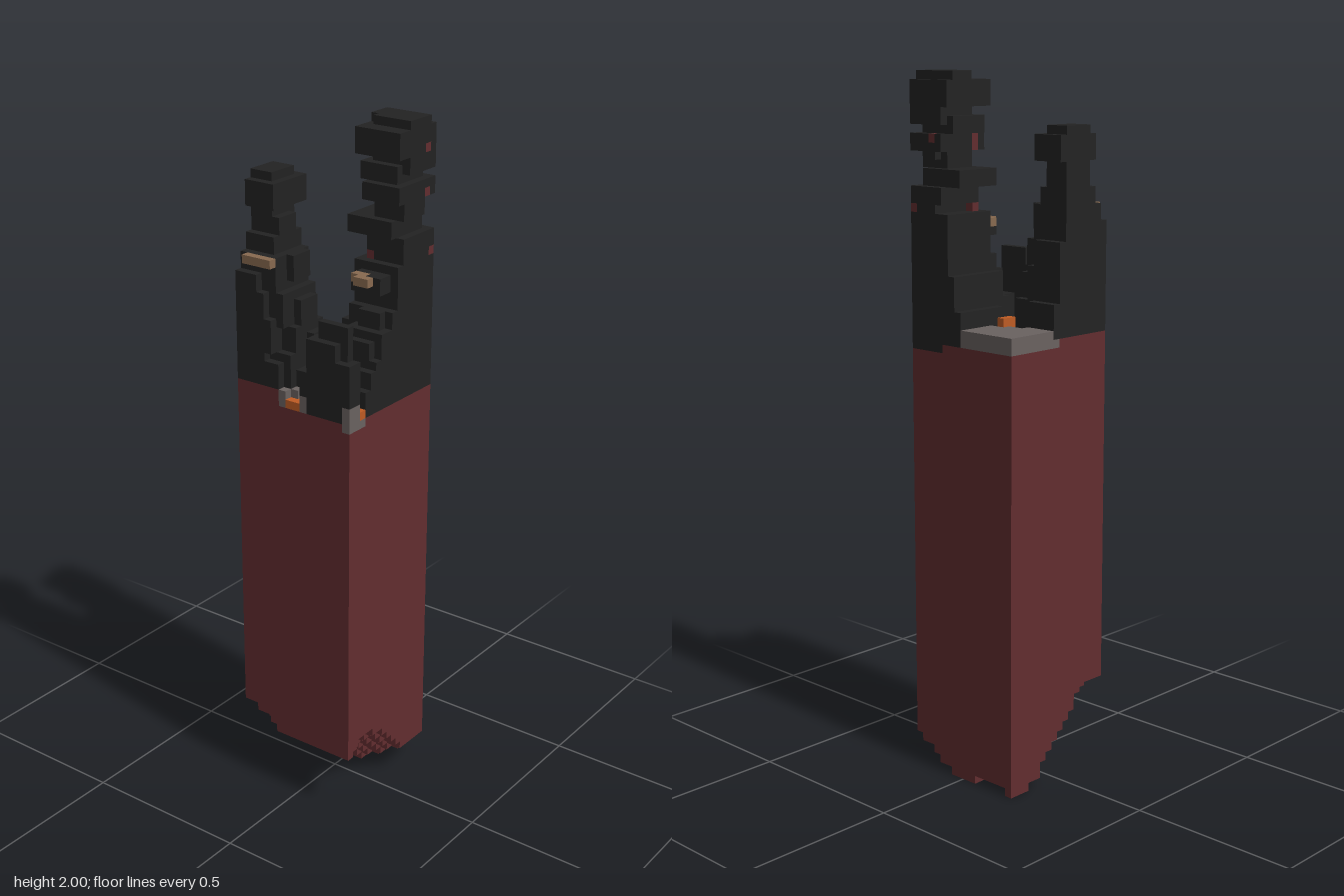
import * as THREE from 'three';

const N = 16, H = 84, U = 2 / H; // voxel columns per side, layers, voxel size

const parts = {
  redRock: { name: 'redRock', color: 0x622d2f },
  darkRock: { name: 'darkRock', color: 0x232323 },
  greyStone: { name: 'greyStone', color: 0x6a6260 },
  lava: { name: 'lava', color: 0xbf5c24 },
  tanStone: { name: 'tanStone', color: 0x886a50 },
};

// Slabs are [x0, x1, z0, z1, y0, y1] in voxel units, upper bounds exclusive.
const tallTower = [
  [8, 16, 0, 7, 53, 57], [9, 16, 0, 9, 53, 58], [10, 16, 0, 11, 53, 58],
  [11, 16, 0, 12, 52, 57], [13, 16, 0, 13, 52, 55],
  [9, 16, 0, 8, 57, 61], [11, 16, 8, 10, 57, 61], [12, 15, 10, 11, 57, 60],
  [10, 16, 0, 8, 61, 63], [12, 15, 8, 9, 61, 63], [10, 16, 0, 7, 63, 68],
  [11, 15, 7, 9, 65, 67], [12, 16, 0, 6, 68, 69], [11, 16, 0, 6, 69, 71],
  [9, 15, 1, 7, 71, 73], [12, 16, 2, 6, 73, 75], [13, 15, 1, 5, 74, 76],
  [11, 16, 0, 7, 75, 77], [10, 15, 1, 6, 77, 79], [11, 16, 0, 5, 78, 80],
  [10, 16, 0, 7, 80, 83], [11, 16, 1, 5, 83, 84], [10, 14, 1, 4, 83, 84],
];
const shortTower = [
  [0, 4, 7, 16, 54, 58], [4, 7, 8, 15, 53, 58], [7, 8, 9, 14, 53, 56],
  [4, 6, 15, 16, 54, 57], [0, 5, 8, 16, 58, 62], [5, 7, 9, 14, 58, 61],
  [7, 8, 10, 12, 58, 60], [0, 6, 9, 15, 61, 65], [0, 4, 8, 16, 62, 65],
  [6, 7, 10, 13, 61, 64], [0, 5, 9, 15, 65, 69], [0, 3, 9, 16, 65, 67],
  [5, 6, 10, 13, 66, 69], [0, 4, 9, 14, 69, 71], [1, 4, 10, 13, 71, 73],
  [0, 3, 9, 13, 71, 74], [0, 4, 8, 14, 74, 77], [0, 3, 9, 13, 77, 78],
];
const cornerStump = [
  [10, 15, 14, 16, 52, 58], [9, 16, 15, 16, 54, 57], [10, 16, 14, 16, 54, 59],
  [10, 14, 14, 16, 58, 61], [11, 15, 14, 15, 59, 63],
];

function buildVoxels() {
  const grid = new Map();
  const key = (x, y, z) => x + N * (z + N * y);
  const get = (x, y, z) =>
    x < 0 || z < 0 || y < 0 || x >= N || z >= N || y >= H ? undefined : grid.get(key(x, y, z));
  const fill = (part, slabs) => {
    for (const [x0, x1, z0, z1, y0, y1] of slabs)
      for (let y = y0; y < y1; y++)
        for (let z = z0; z < z1; z++)
          for (let x = x0; x < x1; x++) {
            if (part) grid.set(key(x, y, z), part);
            else grid.delete(key(x, y, z));
          }
  };

  // Rock column with a stepped, sloping underside
  for (let z = 0; z < N; z++)
    for (let x = 0; x < N; x++) {
      const t = z / 15;
      const slope = Math.min(8.2, Math.max(0, (z - 3.5) * 0.95));
      const right = (1 - t ** 4) * Math.max(0, (x - 9) * 0.65);
      const left = t * Math.max(0, (5 - x) * 0.65);
      const notch = z < 5 && x > 0 && x < 6 ? 1 : 0;
      const base = Math.round(slope + right + left + notch);
      fill('redRock', [[x, x + 1, z, z + 1, base, 54]]);
    }

  // Stone floor, higher at the back corner and lower beside the channel
  fill('greyStone', [
    [0, 9, 0, 8, 53, 55], [4, 9, 5, 9, 52, 54], [0, 2, 15, 16, 54, 55],
    [6, 10, 14, 16, 52, 54], [15, 16, 13, 16, 51, 54], [13, 16, 10, 13, 53, 54],
    [9, 11, 14, 16, 52, 54],
  ]);
  fill(null, [[6, 9, 5, 9, 54, 55], [4, 6, 6, 8, 54, 55]]);

  fill('darkRock', [...tallTower, ...shortTower, ...cornerStump]);

  // Lava channel running from the back floor to the front and right edges
  const channel = [
    [6, 7, 5, 7], [7, 8, 6, 9], [8, 9, 7, 16], [9, 10, 9, 15],
    [10, 11, 11, 14], [11, 13, 12, 14], [13, 16, 13, 14], [7, 8, 15, 16],
  ];
  for (const c of channel) {
    fill(null, [[...c, 53, 58]]);
    fill('lava', [[...c, 52, 53]]);
  }
  fill('lava', [[6, 7, 5, 7, 53, 56], [7, 8, 6, 7, 53, 54]]);

  // Small coloured stones lodged in the towers
  fill('tanStone', [[1, 5, 15, 16, 68, 69], [12, 14, 9, 10, 66, 67], [11, 13, 8, 9, 66, 67]]);
  fill('redRock', [
    [11, 12, 5, 6, 75, 77], [15, 16, 1, 2, 80, 81], [15, 16, 1, 2, 75, 76],
    [11, 12, 5, 6, 67, 69], [15, 16, 0, 1, 68, 69], [12, 13, 0, 1, 76, 77],
  ]);
  return { grid, get };
}

export function createModel() {
  const { grid, get } = buildVoxels();
  const faces = {};
  for (const name in parts) faces[name] = { position: [], normal: [] };

  // Emit only the exposed faces of each voxel
  for (const [k, part] of grid) {
    const cell = [k % N, Math.floor(k / (N * N)), Math.floor(k / N) % N];
    for (let axis = 0; axis < 3; axis++)
      for (const sign of [-1, 1]) {
        const next = [...cell];
        next[axis] += sign;
        if (get(...next)) continue;
        const a = (axis + 1) % 3, b = (axis + 2) % 3;
        const loop = [[0, 0], [1, 0], [1, 1], [0, 0], [1, 1], [0, 1]];
        if (sign < 0) loop.reverse();
        const normal = [0, 0, 0];
        normal[axis] = sign;
        for (const [da, db] of loop) {
          const p = [...cell];
          p[axis] += sign > 0 ? 1 : 0;
          p[a] += da;
          p[b] += db;
          faces[part].position.push((p[0] - N / 2) * U, p[1] * U, (p[2] - N / 2) * U);
          faces[part].normal.push(...normal);
        }
      }
  }

  const group = new THREE.Group();
  group.name = 'volcanicColumn';
  for (const [name, { color }] of Object.entries(parts)) {
    const geometry = new THREE.BufferGeometry();
    for (const attr of ['position', 'normal'])
      geometry.setAttribute(attr, new THREE.Float32BufferAttribute(faces[name][attr], 3));
    const material = new THREE.MeshStandardMaterial({ color });
    material.name = name;
    const mesh = new THREE.Mesh(geometry, material);
    mesh.name = name;
    group.add(mesh);
  }
  return group;
}
